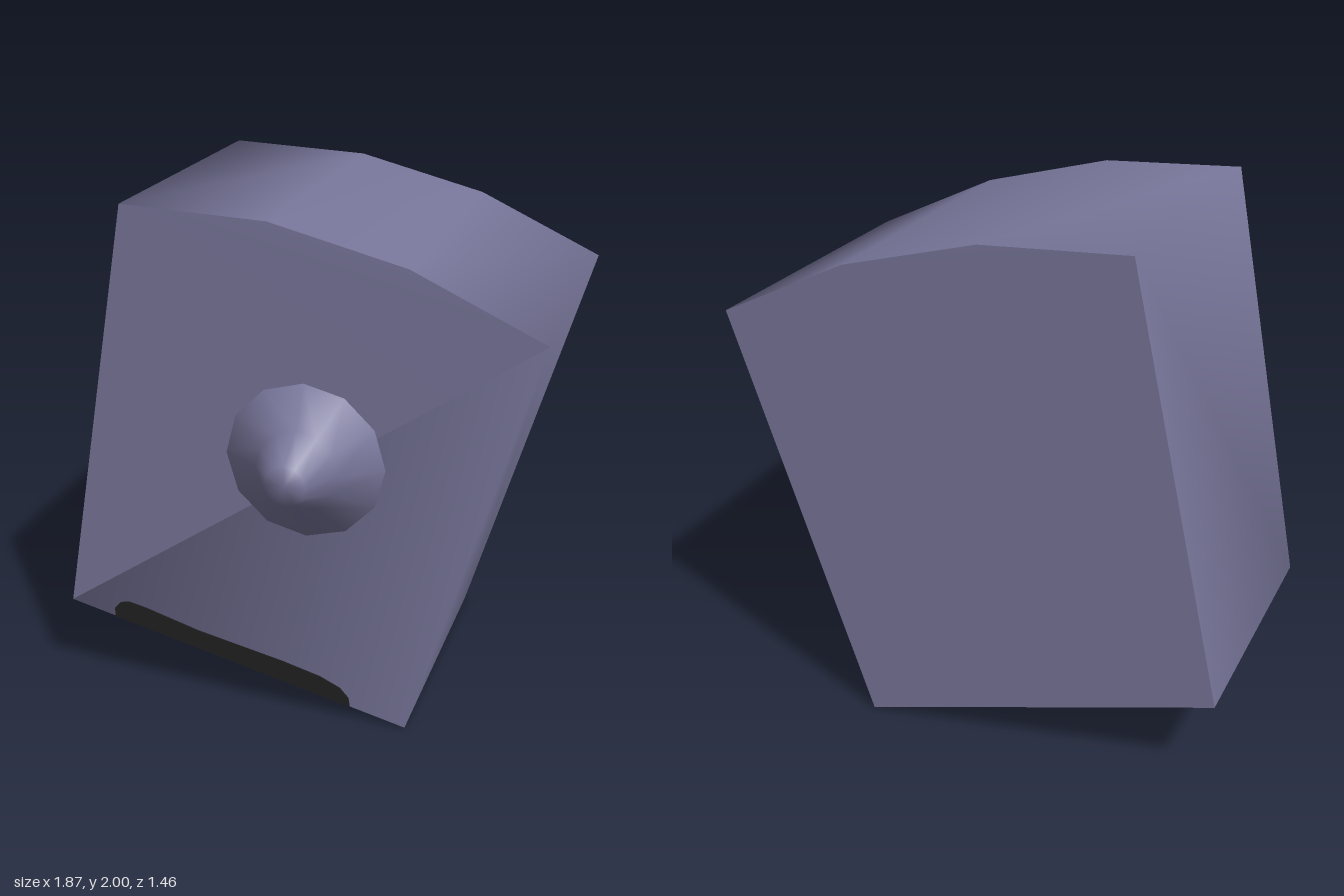
import * as THREE from 'three';

// Outline seen from the front, counter-clockwise from the lowest corner
const OUTLINE = [[0.44, 0], [0.93, 1.615], [0.44, 1.845], [-0.07, 1.975], [-0.62, 2], [-0.94, 0.35]];

// Height along the tilted axis, 0 at the open base and 1 at the shoulders
const lift = (x, y) => Math.min(1, Math.max(0, (0.245 * x + 0.97 * y - 0.108) / 1.682));
const frontZ = (x, y) => 0.45 + 0.07 * lift(x, y);
const backZ = (x, y) => -0.665 - 0.065 * lift(x, y);

const toShape = (points) => new THREE.Shape(points.map(([x, y]) => new THREE.Vector2(x, y)));

// Moves each vertex's z by a rule
function bend(geometry, rule) {
  const p = geometry.attributes.position;
  for (let i = 0; i < p.count; i++) p.setZ(i, rule(p.getX(i), p.getY(i), p.getZ(i)));
  geometry.computeVertexNormals();
  return geometry;
}

export function createModel() {
  const model = new THREE.Group();
  const shell = new THREE.MeshStandardMaterial({ color: 0x78769a, side: THREE.DoubleSide });
  shell.name = 'dusty violet';
  const dark = new THREE.MeshStandardMaterial({ color: 0x222222, side: THREE.DoubleSide });
  dark.name = 'black';

  const add = (name, geometry, material) => {
    const mesh = new THREE.Mesh(geometry, material);
    mesh.name = name;
    model.add(mesh);
    return mesh;
  };

  // Sides, curved top and lower front share smooth normals; the base is open
  const positions = [];
  const index = [];
  for (const [x, y] of OUTLINE) positions.push(x, y, frontZ(x, y), x, y, backZ(x, y));
  for (let i = 0; i < OUTLINE.length - 1; i++) {
    const f = i * 2, b = f + 1;
    index.push(f, b, f + 2, b, b + 2, f + 2);
  }
  index.push(10, 0, 2);
  const wrap = new THREE.BufferGeometry();
  wrap.setAttribute('position', new THREE.Float32BufferAttribute(positions, 3));
  wrap.setIndex(index);
  wrap.computeVertexNormals();
  add('sidesAndTop', wrap, shell);

  // Flat upper front and back panels
  add('upperFront', bend(new THREE.ShapeGeometry(toShape(OUTLINE.slice(1))), frontZ), shell);
  const back = new THREE.ShapeGeometry(toShape(OUTLINE));
  back.index.array.reverse();
  add('backPanel', bend(back, backZ), shell);

  // Blunt cone whose rim follows the front panel
  const cx = 0.055, cy = 1.085;
  const cone = new THREE.LatheGeometry(
    [[0.308, 0], [0.155, 0.59], [0.077, 0.73], [0, 0.732]].map(([r, z]) => new THREE.Vector2(r, z)), 12);
  cone.rotateX(Math.PI / 2);
  cone.translate(cx, cy, 0);
  const p = cone.attributes.position;
  for (let i = 0; i < p.count; i++) {
    if (p.getZ(i) < 0.3) p.setZ(i, frontZ(p.getX(i), p.getY(i)) - 0.002);
  }
  // Smooth normals around the axis, without a seam
  const slopes = [0.62, 0.75, 1.0, 4];
  for (let i = 0; i < p.count; i++) {
    const a = Math.floor(i / 4) / 12 * Math.PI * 2;
    const n = new THREE.Vector3(Math.sin(a), -Math.cos(a), slopes[i % 4]);
    if (i % 4 === 3) n.set(0, 0, 1);
    n.normalize();
    cone.attributes.normal.setXYZ(i, n.x, n.y, n.z);
  }
  add('nose', cone, shell);

  // Dark slot along the lower front edge, showing on both faces of the panel
  const slot = toShape([[-0.755, 0.303], [0.22, 0.056], [0.215, 0.095], [0.18, 0.135], [0.1, 0.173],
    [-0.05, 0.215], [-0.4, 0.295], [-0.62, 0.362], [-0.69, 0.378], [-0.73, 0.37], [-0.755, 0.34]]);
  const plate = new THREE.ExtrudeGeometry(slot, { depth: 0.008, bevelEnabled: false });
  add('frontSlot', bend(plate, (x, y, z) => frontZ(x, y) + z - 0.004), dark);

  return model;
}
